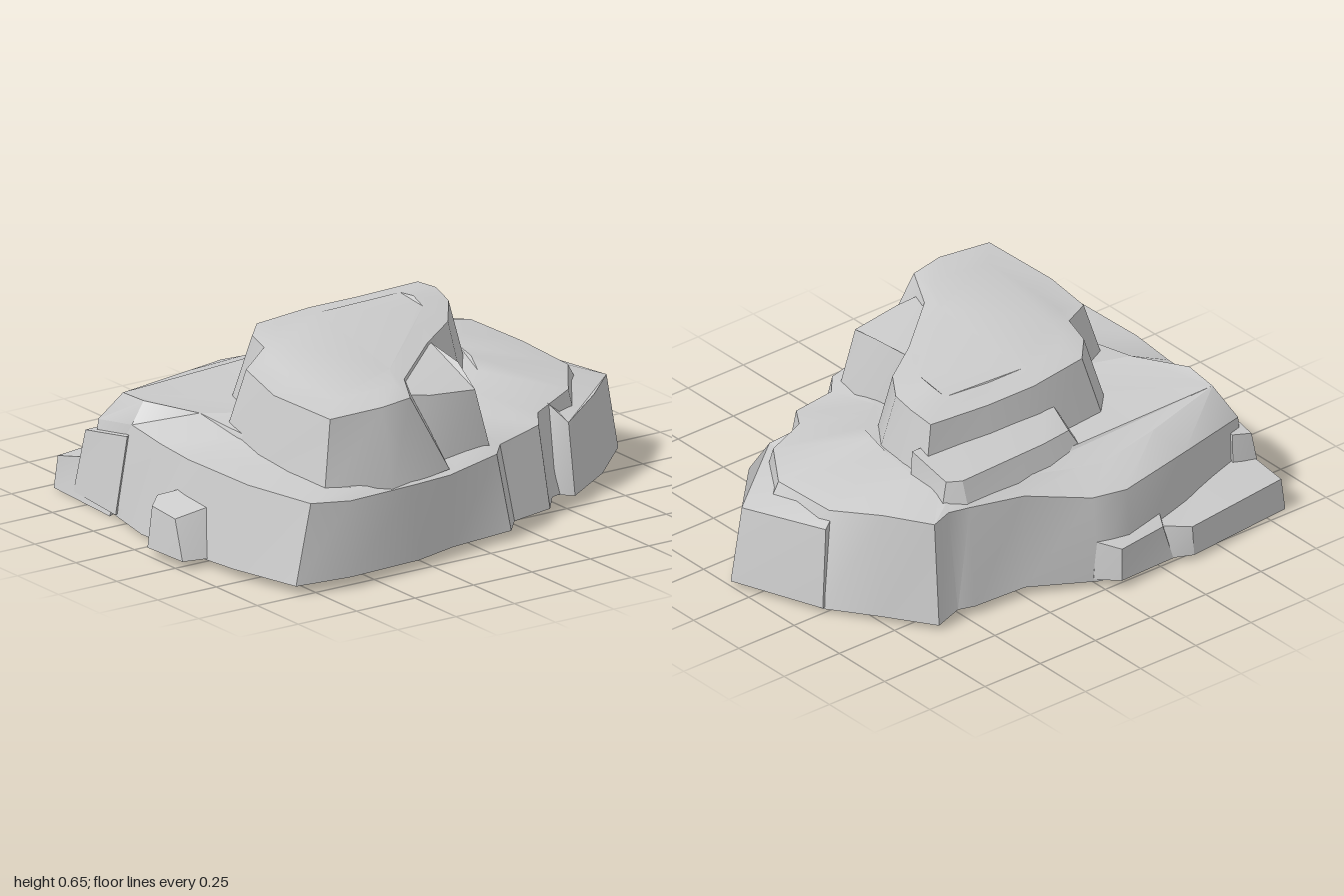
import * as THREE from 'three';
import { toCreasedNormals } from 'three/addons/utils/BufferGeometryUtils.js';

const material = new THREE.MeshStandardMaterial({ color: 0xcccccc });

// Closed stone lofted through rings of [x, y, z], listed from the bottom up.
// Each ring starts front left and runs along the front, right, back and left.
function stone(name, rings, crease = 0.5) {
  const pos = [];
  const tri = (a, b, c) => pos.push(...a, ...b, ...c);
  const n = rings[0].length;
  for (let r = 0; r < rings.length - 1; r++) {
    const lo = rings[r], hi = rings[r + 1];
    for (let i = 0; i < n; i++) {
      const j = (i + 1) % n;
      tri(lo[i], lo[j], hi[j]);
      tri(lo[i], hi[j], hi[i]);
    }
  }
  const cap = (ring, up) => {
    const flat = ring.map(([x, , z]) => new THREE.Vector2(x, -z));
    for (const [a, b, c] of THREE.ShapeUtils.triangulateShape(flat, [])) {
      if (up) tri(ring[a], ring[b], ring[c]);
      else tri(ring[a], ring[c], ring[b]);
    }
  };
  cap(rings[0], false);
  cap(rings[rings.length - 1], true);
  const geometry = new THREE.BufferGeometry();
  geometry.setAttribute('position', new THREE.Float32BufferAttribute(pos, 3));
  const mesh = new THREE.Mesh(toCreasedNormals(geometry, crease), material);
  mesh.name = name;
  return mesh;
}

// Ring drawn in towards a centre and raised, for gently domed tops
const inset = (ring, cx, cz, k, rise) =>
  ring.map(([x, y, z]) => [cx + (x - cx) * k, y + rise, cz + (z - cz) * k]);

export function createModel() {
  const group = new THREE.Group();
  group.name = 'layeredRock';

  // Broad base: ground outline, shoulder, and the ledge up to the foot of the upper tier
  const baseGround = [
    [-0.82, 0.03, 0.73], [-0.62, 0.04, 0.78], [-0.3, 0.03, 0.74], [-0.12, 0.03, 0.69],
    [0.15, 0.03, 0.66], [0.22, 0.03, 0.58], [0.4, 0.03, 0.54], [0.48, 0.03, 0.44],
    [0.7, 0.02, 0.36], [0.97, 0.02, 0.1], [0.86, 0.01, -0.24], [0.75, 0.02, -0.42],
    [0.63, 0.02, -0.6], [0.52, 0.03, -0.57], [0.46, 0.03, -0.59], [0.24, 0.03, -0.6],
    [0, 0.02, -0.72], [-0.13, 0.02, -0.74], [-0.45, 0.02, -0.66], [-0.8, 0.01, -0.55],
    [-0.86, 0.01, -0.3], [-0.9, 0.01, -0.1], [-0.91, 0.02, 0.15], [-0.89, 0.03, 0.45],
  ];
  const baseShoulder = [
    [-0.75, 0.32, 0.72], [-0.6, 0.31, 0.75], [-0.3, 0.3, 0.71], [-0.12, 0.29, 0.67],
    [0.13, 0.3, 0.6], [0.2, 0.3, 0.52], [0.4, 0.32, 0.47], [0.46, 0.33, 0.38],
    [0.66, 0.35, 0.28], [0.8, 0.36, 0.08], [0.8, 0.37, -0.2], [0.72, 0.41, -0.4],
    [0.61, 0.4, -0.55], [0.53, 0.41, -0.53], [0.45, 0.41, -0.55], [0.22, 0.38, -0.57],
    [0, 0.34, -0.68], [-0.13, 0.34, -0.71], [-0.45, 0.34, -0.64], [-0.79, 0.3, -0.52],
    [-0.8, 0.34, -0.3], [-0.82, 0.33, -0.1], [-0.84, 0.33, 0.1], [-0.83, 0.33, 0.45],
  ];
  const baseLedge = [
    [-0.66, 0.34, 0.66], [-0.55, 0.33, 0.7], [-0.3, 0.32, 0.65], [-0.1, 0.31, 0.58],
    [0.1, 0.33, 0.5], [0.17, 0.34, 0.4], [0.2, 0.36, 0.28], [0.3, 0.39, 0.2],
    [0.4, 0.42, 0.1], [0.44, 0.44, 0], [0.47, 0.44, -0.12], [0.5, 0.44, -0.3],
    [0.5, 0.44, -0.44], [0.48, 0.44, -0.48], [0.42, 0.44, -0.5], [0.2, 0.42, -0.5],
    [-0.02, 0.4, -0.56], [-0.13, 0.39, -0.58], [-0.4, 0.4, -0.53], [-0.74, 0.41, -0.44],
    [-0.75, 0.42, -0.3], [-0.65, 0.41, -0.1], [-0.63, 0.37, 0.1], [-0.64, 0.34, 0.45],
  ];
  group.add(stone('base', [baseGround, baseShoulder, baseLedge]));

  // Upper tier with a gently tilted, domed top
  const upperFoot = [
    [-0.65, 0.3, 0.66], [-0.4, 0.3, 0.72], [-0.1, 0.3, 0.64], [-0.05, 0.3, 0.42],
    [0.15, 0.3, 0.22], [0.33, 0.35, 0.12], [0.45, 0.38, -0.04], [0.48, 0.38, -0.2],
    [0.5, 0.38, -0.36], [0.2, 0.38, -0.38], [-0.05, 0.38, -0.38], [-0.34, 0.35, -0.34],
    [-0.43, 0.35, -0.24], [-0.46, 0.35, -0.08], [-0.62, 0.33, 0], [-0.66, 0.3, 0.25],
  ];
  const upperRim = [
    [-0.59, 0.57, 0.61], [-0.38, 0.58, 0.63], [-0.24, 0.58, 0.6], [-0.14, 0.58, 0.42],
    [0.12, 0.6, 0.19], [0.3, 0.61, 0.06], [0.4, 0.63, -0.08], [0.43, 0.64, -0.2],
    [0.43, 0.63, -0.31], [0.18, 0.62, -0.32], [-0.03, 0.62, -0.32], [-0.28, 0.62, -0.28],
    [-0.37, 0.62, -0.18], [-0.41, 0.62, -0.05], [-0.55, 0.59, 0.04], [-0.6, 0.57, 0.28],
  ];
  group.add(stone('upperTier', [upperFoot, upperRim, inset(upperRim, -0.15, 0.08, 0.75, 0.015)]));

  // Step behind the upper tier
  group.add(stone('backStep', [
    [[-0.18, 0.36, -0.28], [0.5, 0.36, -0.28], [0.54, 0.38, -0.5], [0.45, 0.38, -0.55],
      [0.05, 0.37, -0.53], [-0.14, 0.36, -0.49]],
    [[-0.12, 0.53, -0.28], [0.49, 0.53, -0.28], [0.5, 0.5, -0.48], [0.45, 0.5, -0.51],
      [0.06, 0.49, -0.48], [-0.08, 0.48, -0.45]],
  ]));

  // Block tucked into the notch at the front
  group.add(stone('frontBlock', [
    [[-0.25, 0.28, 0.57], [-0.1, 0.28, 0.58], [0.15, 0.28, 0.54], [0.19, 0.3, 0.42],
      [0.18, 0.3, 0.15], [-0.15, 0.3, 0.35]],
    [[-0.22, 0.56, 0.5], [-0.1, 0.54, 0.52], [0.1, 0.52, 0.51], [0.14, 0.57, 0.35],
      [0.15, 0.59, 0.17], [-0.15, 0.57, 0.38]],
  ]));

  // Boulder at the right end
  group.add(stone('sideBoulder', [
    [[0.57, 0.02, 0.45], [0.8, 0.015, 0.29], [1, 0.02, 0.1], [0.87, 0.02, -0.25],
      [0.7, 0.02, -0.2], [0.48, 0.03, 0.4]],
    [[0.57, 0.28, 0.41], [0.77, 0.31, 0.28], [0.95, 0.3, 0.1], [0.84, 0.32, -0.23],
      [0.7, 0.37, -0.15], [0.53, 0.34, 0.34]],
  ]));

  // Low slabs along the back left
  group.add(stone('lowSlab', [
    [[-0.86, 0, -0.35], [-0.25, 0.01, -0.6], [-0.26, 0.02, -0.74], [-0.37, 0.02, -0.79],
      [-0.84, 0, -0.72]],
    [[-0.8, 0.2, -0.35], [-0.25, 0.18, -0.6], [-0.27, 0.14, -0.71], [-0.37, 0.13, -0.78],
      [-0.83, 0.12, -0.71]],
  ]));
  group.add(stone('lowSlabEnd', [
    [[-0.35, 0.02, -0.62], [0.03, 0.03, -0.62], [0.02, 0.03, -0.71], [-0.05, 0.03, -0.78],
      [-0.3, 0.02, -0.76]],
    [[-0.33, 0.2, -0.62], [0.01, 0.2, -0.62], [0, 0.17, -0.7], [-0.06, 0.15, -0.77],
      [-0.27, 0.15, -0.74]],
  ]));
  group.add(stone('backCornerChunk', [
    [[-0.87, 0.02, -0.3], [-0.7, 0.02, -0.4], [-0.72, 0.02, -0.58], [-0.84, 0.02, -0.6]],
    [[-0.82, 0.3, -0.3], [-0.7, 0.3, -0.4], [-0.74, 0.26, -0.55], [-0.81, 0.25, -0.57]],
  ]));

  // Small loose block at the left end
  group.add(stone('smallBlock', [
    [[-0.99, 0.03, 0.28], [-0.86, 0.03, 0.31], [-0.84, 0.03, 0.08], [-0.93, 0.03, 0.03],
      [-1, 0.03, 0.08]],
    [[-0.98, 0.17, 0.22], [-0.86, 0.2, 0.25], [-0.84, 0.22, 0.08], [-0.93, 0.2, 0.04],
      [-0.98, 0.18, 0.08]],
  ]));

  return group;
}
